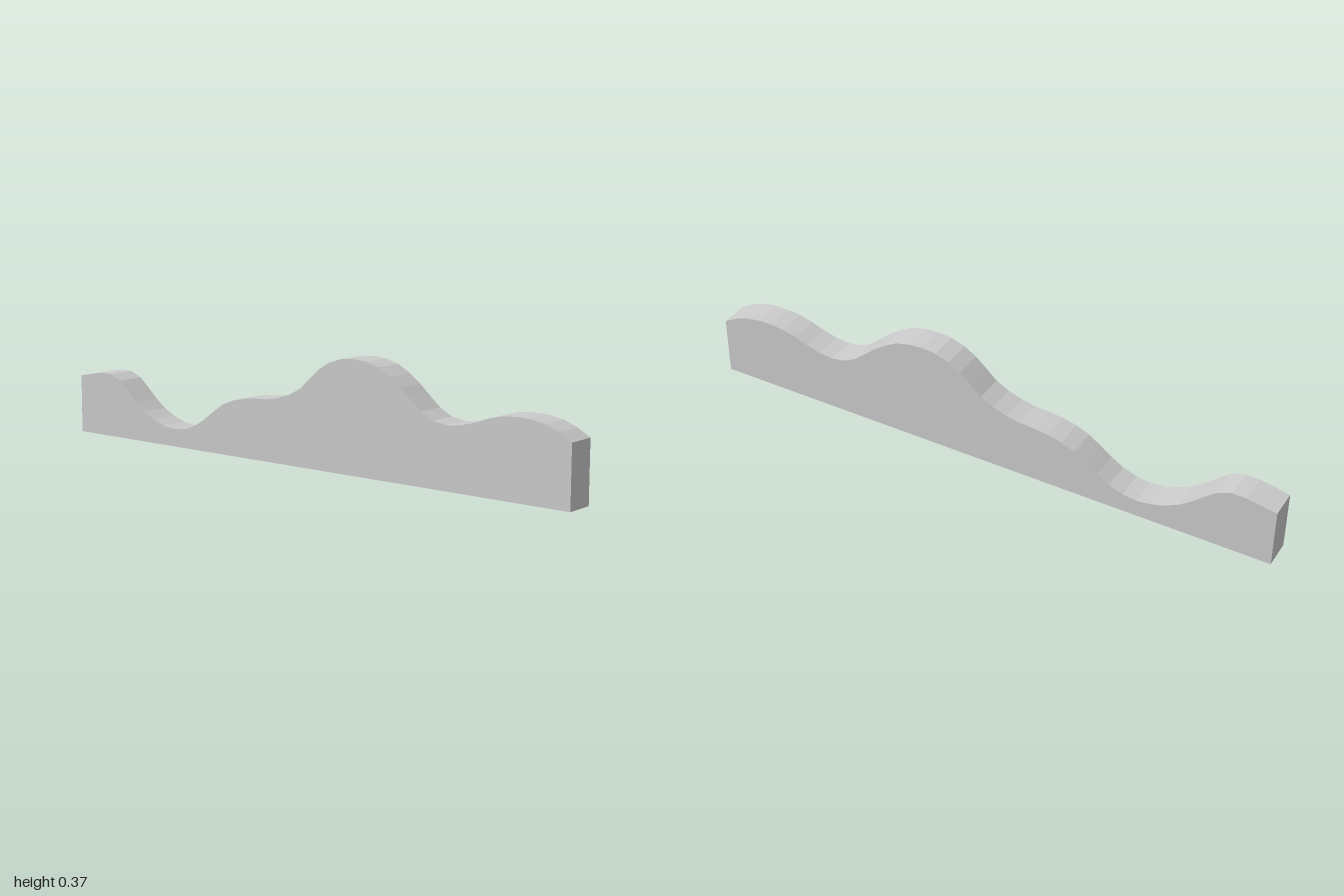
import * as THREE from 'three';

// Heights of the wavy top edge as [z, y], from front to back
const crest = [
  [1, 0.2], [0.95, 0.228], [0.9, 0.245], [0.83, 0.253], [0.75, 0.246], [0.7, 0.231], [0.65, 0.213],
  [0.58, 0.2], [0.52, 0.208], [0.47, 0.235], [0.4, 0.296], [0.33, 0.343], [0.28, 0.36], [0.22, 0.366],
  [0.16, 0.36], [0.1, 0.335], [0.05, 0.295], [0, 0.25], [-0.06, 0.222], [-0.13, 0.205], [-0.2, 0.2],
  [-0.27, 0.189], [-0.34, 0.16], [-0.4, 0.115], [-0.46, 0.079], [-0.52, 0.061], [-0.58, 0.062],
  [-0.64, 0.079], [-0.7, 0.11], [-0.76, 0.16], [-0.8, 0.196], [-0.85, 0.218], [-0.9, 0.218], [-1, 0.2],
];
const thickness = 0.1;

export function createModel() {
  const group = new THREE.Group();

  // Side outline, drawn with the front end at the left
  const outline = new THREE.Shape();
  outline.moveTo(1, 0);
  outline.lineTo(-1, 0);
  const edge = new THREE.SplineCurve(crest.map(([z, y]) => new THREE.Vector2(-z, y)));
  for (const p of edge.getSpacedPoints(44)) outline.lineTo(p.x, p.y);

  // Extrude across the thickness and turn the length onto z
  const geometry = new THREE.ExtrudeGeometry(outline, { depth: thickness, bevelEnabled: false });
  geometry.translate(0, 0, -thickness / 2);
  geometry.rotateY(Math.PI / 2);

  const panel = new THREE.Mesh(
    geometry,
    new THREE.MeshStandardMaterial({ color: 0xcccccc, flatShading: true }),
  );
  panel.name = 'wavyPanel';
  group.add(panel);
  return group;
}
